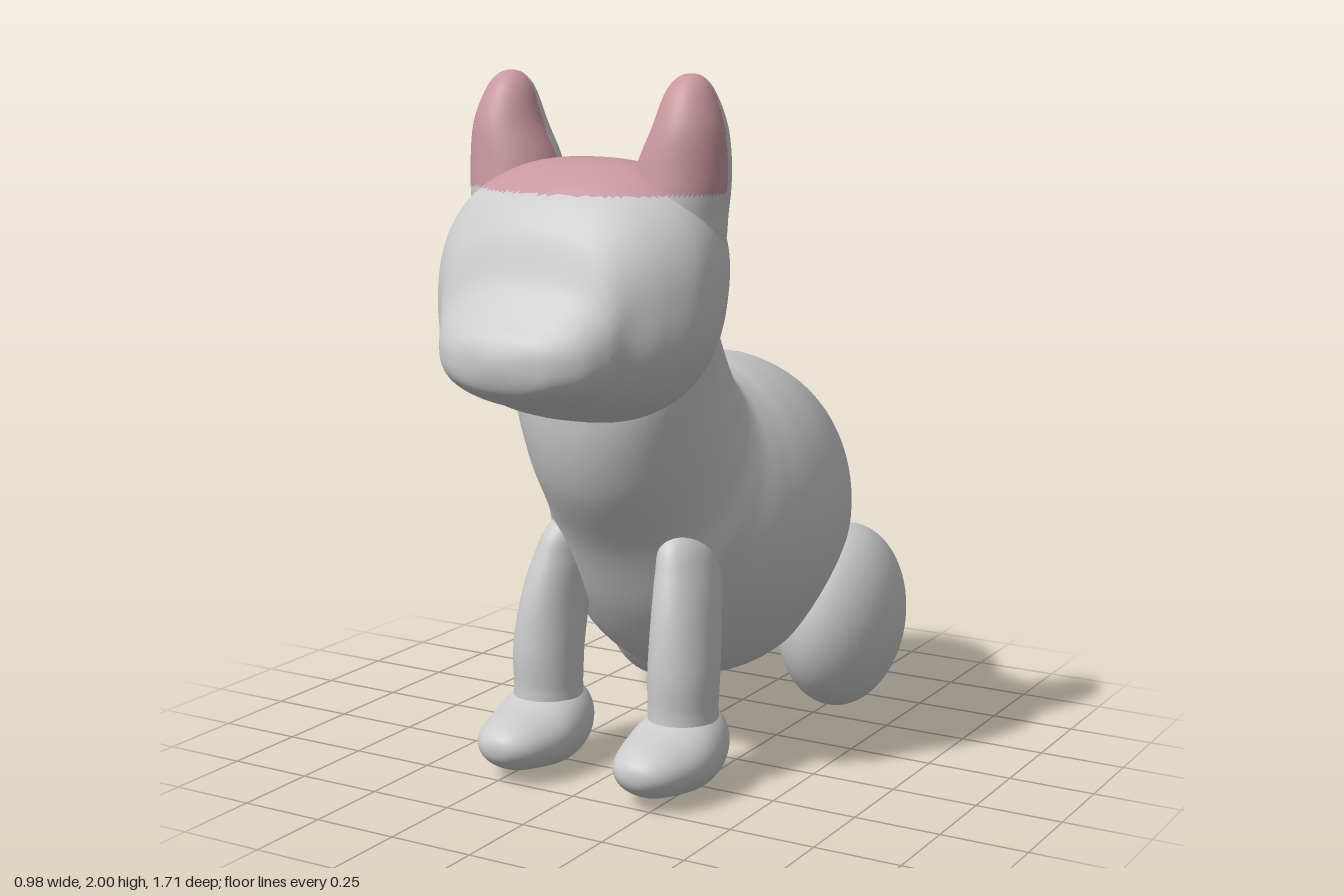
import * as THREE from 'three';

const grey = new THREE.MeshStandardMaterial({ color: 0xcccccc });
const pink = new THREE.MeshStandardMaterial({ color: 0xc8979f });

// Uniform Catmull-Rom on one number
const spline = (a, b, c, d, t) =>
  0.5 * (2 * b + (c - a) * t + (2 * a - 5 * b + 4 * c - d) * t * t + (3 * b - a - 3 * c + d) * t * t * t);

// Smooth closed loft. Each section is [zA, yA, zB, yB, halfWidth]: an ellipse whose
// mid-plane diameter runs from A to B. Both ends are poles, rounded by mirrored ghosts.
function loft(sections, { x = 0, power = 2, steps = 8, sides = 64 } = {}) {
  const s = sections.map(p => [...p.slice(0, 5), p[5] ?? x]);
  const ghost = ([za, ya, zb, yb, w, cx]) => [zb, yb, za, ya, -w, cx];
  const all = [ghost(s[1]), ...s, ghost(s[s.length - 2])];
  const rows = (s.length - 1) * steps;
  const pos = [], index = [];
  const round = v => Math.sign(v) * Math.abs(v) ** (2 / power);
  for (let i = 0; i <= rows; i++) {
    const k = Math.min(Math.floor(i / steps), s.length - 2), t = i / steps - k;
    const [za, ya, zb, yb, w, cx] = s[0].map((_, n) =>
      spline(all[k][n], all[k + 1][n], all[k + 2][n], all[k + 3][n], t));
    for (let j = 0; j < sides; j++) {
      const a = j / sides * Math.PI * 2, c = round(Math.cos(a)), q = round(Math.sin(a));
      pos.push(cx + w * q, (ya + yb) / 2 + (ya - yb) / 2 * c, (za + zb) / 2 + (za - zb) / 2 * c);
      if (i === rows) continue;
      const p = i * sides + j, r = i * sides + (j + 1) % sides;
      if (i < rows - 1) index.push(p + sides, r + sides, r);
      if (i > 0) index.push(p, p + sides, r);
      else index.push(p, p + sides, r + sides);
    }
  }
  const g = new THREE.BufferGeometry();
  g.setAttribute('position', new THREE.Float32BufferAttribute(pos, 3));
  g.setIndex(index);
  g.computeVertexNormals();
  return g;
}

function add(group, name, geometry, material = grey) {
  const mesh = new THREE.Mesh(geometry, material);
  mesh.name = name;
  group.add(mesh);
  return mesh;
}

// Splits a surface into a grey part and a pink patch, sharing smooth normals
function addPatched(group, name, geometry, yMin, zMin) {
  const p = geometry.attributes.position, idx = geometry.index.array;
  const plain = [], patch = [];
  for (let i = 0; i < idx.length; i += 3) {
    const t = [idx[i], idx[i + 1], idx[i + 2]];
    const y = t.reduce((n, v) => n + p.getY(v), 0) / 3;
    const z = t.reduce((n, v) => n + p.getZ(v), 0) / 3;
    (y > yMin && z > zMin ? patch : plain).push(...t);
  }
  const other = geometry.clone();
  geometry.setIndex(plain);
  other.setIndex(patch);
  add(group, name, geometry);
  add(group, name + 'Patch', other, pink);
}

export function createModel() {
  const model = new THREE.Group();
  model.name = 'sittingAnimal';

  // Round body running forward and up into the neck
  add(model, 'bodyAndNeck', loft([
    [-0.85, 0.70, -0.85, 0.70, 0],
    [-0.82, 0.83, -0.82, 0.54, 0.13],
    [-0.74, 0.945, -0.72, 0.38, 0.235],
    [-0.60, 1.06, -0.57, 0.26, 0.33],
    [-0.42, 1.135, -0.38, 0.19, 0.39],
    [-0.26, 1.16, -0.16, 0.19, 0.40],
    [-0.16, 1.16, 0.06, 0.285, 0.375],
    [-0.11, 1.175, 0.21, 0.45, 0.335],
    [-0.08, 1.23, 0.33, 0.66, 0.30],
    [-0.02, 1.36, 0.465, 0.86, 0.287],
    [0.05, 1.50, 0.52, 1.05, 0.285],
    [0.16, 1.55, 0.5, 1.2, 0.22],
    [0.32, 1.4, 0.32, 1.4, 0],
  ]));

  // Wide skull narrowing to a blunt muzzle, with a pink brow
  addPatched(model, 'head', loft([
    [0.02, 1.42, 0.02, 1.42, 0],
    [0.045, 1.53, 0.07, 1.28, 0.14],
    [0.10, 1.64, 0.20, 1.15, 0.27],
    [0.20, 1.735, 0.36, 1.08, 0.365],
    [0.32, 1.77, 0.46, 1.065, 0.408],
    [0.45, 1.77, 0.55, 1.085, 0.408],
    [0.57, 1.715, 0.62, 1.11, 0.36],
    [0.67, 1.61, 0.68, 1.13, 0.295],
    [0.73, 1.47, 0.73, 1.145, 0.26],
    [0.79, 1.39, 0.785, 1.17, 0.215],
    [0.84, 1.335, 0.835, 1.20, 0.13],
    [0.857, 1.27, 0.857, 1.27, 0],
  ], { power: 2.4, steps: 12, sides: 120 }), 1.69, 0.35);

  for (const side of [1, -1]) {
    const label = side > 0 ? 'left' : 'right';

    // Ear: rounded cone flaring into the skull, pink on the front
    addPatched(model, label + 'Ear', loft([
      [0.35, 1.45, 0.35, 1.45, 0, 0.26 * side],
      [0.26, 1.52, 0.45, 1.52, 0.10, 0.27 * side],
      [0.215, 1.64, 0.485, 1.64, 0.13, 0.255 * side],
      [0.215, 1.75, 0.475, 1.75, 0.127, 0.265 * side],
      [0.235, 1.86, 0.455, 1.86, 0.098, 0.284 * side],
      [0.27, 1.95, 0.415, 1.95, 0.066, 0.284 * side],
      [0.305, 1.99, 0.375, 1.99, 0.035, 0.284 * side],
      [0.34, 2.0, 0.34, 2.0, 0, 0.284 * side],
    ], { steps: 10 }), 1.69, 0.33);

    // Front leg, tapering into the chest
    add(model, label + 'FrontLeg', loft([
      [0.27, 0.08, 0.27, 0.08, 0, 0.225 * side],
      [0.17, 0.15, 0.37, 0.15, 0.09, 0.225 * side],
      [0.165, 0.25, 0.38, 0.25, 0.097, 0.225 * side],
      [0.15, 0.36, 0.385, 0.36, 0.097, 0.225 * side],
      [0.11, 0.50, 0.37, 0.50, 0.088, 0.217 * side],
      [0.07, 0.62, 0.335, 0.62, 0.078, 0.202 * side],
      [0.06, 0.71, 0.29, 0.71, 0.06, 0.185 * side],
      [0.17, 0.78, 0.17, 0.78, 0, 0.17 * side],
    ]));

    // Paw pointing forward
    add(model, label + 'FrontPaw', loft([
      [0.138, 0.14, 0.138, 0.14, 0],
      [0.155, 0.21, 0.165, 0.07, 0.075],
      [0.21, 0.25, 0.215, 0.02, 0.115],
      [0.30, 0.245, 0.30, 0.005, 0.135],
      [0.40, 0.205, 0.40, 0.02, 0.13],
      [0.49, 0.18, 0.49, 0.04, 0.10],
      [0.54, 0.15, 0.54, 0.075, 0.055],
      [0.553, 0.115, 0.553, 0.115, 0],
    ], { x: 0.225 * side }));

    // Haunch
    const haunch = add(model, label + 'Haunch', new THREE.SphereGeometry(1, 48, 32));
    haunch.scale.set(0.18, 0.285, 0.272);
    haunch.position.set(0.31 * side, 0.315, -0.57);
  }
  return model;
}
